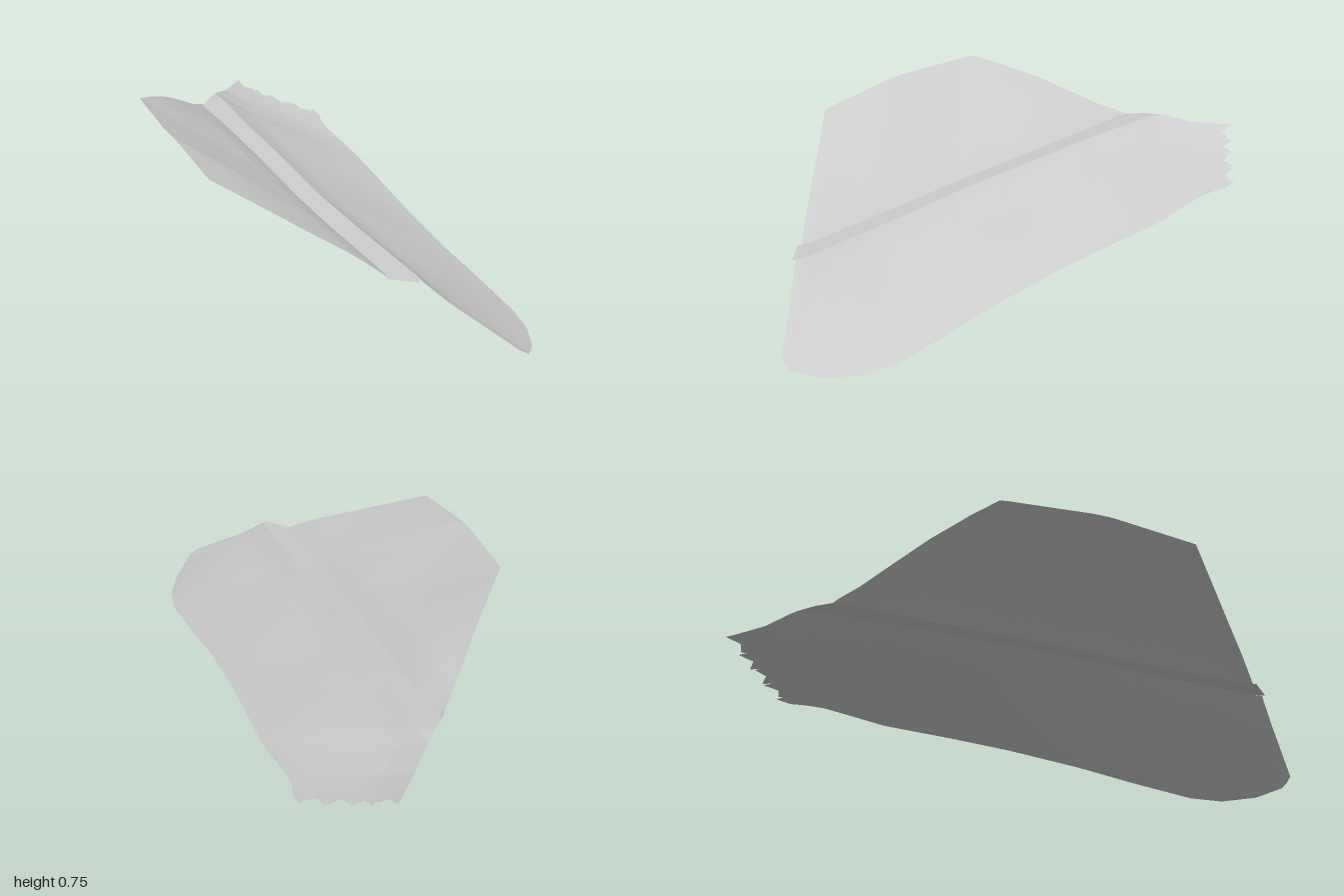
import * as THREE from 'three';

// Piecewise linear lookup through [z, value] points, clamped at both ends
function along(points) {
  return (z) => {
    if (z <= points[0][0]) return points[0][1];
    for (let i = 1; i < points.length; i++) {
      const [z0, v0] = points[i - 1], [z1, v1] = points[i];
      if (z <= z1) return v0 + (v1 - v0) * (z - z0) / (z1 - z0);
    }
    return points[points.length - 1][1];
  };
}

// Plan of the hillside: outer edges and the two road edges, x by z
const uphillX = along([[-1, -0.94], [0.33, -0.94], [0.64, -0.7], [0.98, -0.38]]);
const downhillX = along([[-1, -0.5], [-0.89, -0.45], [-0.82, -0.4], [-0.62, -0.2], [-0.37, 0],
  [-0.16, 0.17], [0.1, 0.4], [0.3, 0.6], [0.51, 0.8], [0.64, 0.88], [0.8, 0.925], [0.93, 0.93], [0.965, 0.92], [0.98, 0.9]]);
const roadLeftX = along([[-0.45, -0.94], [-0.26, -0.76], [0.06, -0.475], [0.4, -0.18], [0.93, 0.32], [0.98, 0.36]]);
const roadRightX = along([[-0.64, -0.94], [-0.29, -0.66], [0.02, -0.385], [0.32, -0.13], [0.93, 0.46], [0.98, 0.5]]);

// Heights of the outer edges and the road, y by z
const uphillY = along([[-0.45, 0.46], [-0.33, 0.5], [-0.2, 0.56], [0, 0.65], [0.2, 0.72], [0.33, 0.755], [0.7, 0.74], [0.98, 0.68]]);
const downhillY = along([[-1, 0.27], [-0.82, 0.25], [-0.62, 0.205], [-0.37, 0.172], [-0.16, 0.14], [0.1, 0.092],
  [0.3, 0.05], [0.51, 0.01], [0.64, 0], [0.8, 0.01], [0.93, 0.04], [0.98, 0.08]]);
const roadY = along([[-1, 0.405], [-0.8, 0.415], [-0.65, 0.452], [-0.55, 0.458], [-0.2, 0.435], [0.2, 0.4], [0.6, 0.36], [1, 0.335]]);

// Ground height: flat road, steeper banks beside it, gently rolling slopes beyond
function height(x, z) {
  const left = roadLeftX(z), right = roadRightX(z), y = roadY(z);
  if (x >= left && x <= right) return y;
  const up = x < left;
  const edgeX = up ? uphillX(z) : downhillX(z);
  const edgeY = up ? uphillY(z) : downhillY(z);
  const start = up ? left : right;
  const f = (x - start) / (edgeX - start);
  const bank = 0.02 * Math.min(1, Math.abs(x - start) / 0.14) * (1 - f);
  const roll = 0.025 * Math.sin(5 * x + 1) * Math.sin(6 * z) * f * (1 - f);
  return y + (edgeY - y) * f + (up ? bank : -bank) + roll;
}

// Rows across the hillside, from back to front
const rows = [];
for (let i = 0; i <= 74; i++) rows.push(-0.955 + 1.935 * i / 74);

// Sheet between two border curves, each given as x for a row
function strip(name, from, to, columns, material) {
  const position = [], index = [];
  rows.forEach((z, i) => {
    const a = from(z, i), b = to(z, i);
    for (let j = 0; j <= columns; j++) {
      const x = a + (b - a) * j / columns;
      const reach = name === 'road' && i === rows.length - 1 ? 0.015 : 0;
      position.push(x, height(x, z), z + reach);
    }
  });
  const w = columns + 1;
  const isWide = (p, q) => position[3 * q] - position[3 * p] > 1e-4;
  for (let i = 0; i < rows.length - 1; i++) {
    for (let j = 0; j < columns; j++) {
      const a = i * w + j, b = a + w;
      if (isWide(a, a + 1)) index.push(a, b, a + 1);
      if (isWide(b, b + 1)) index.push(b, b + 1, a + 1);
    }
  }
  const geometry = new THREE.BufferGeometry();
  geometry.setAttribute('position', new THREE.Float32BufferAttribute(position, 3));
  geometry.setIndex(index);
  geometry.computeVertexNormals();
  const mesh = new THREE.Mesh(geometry, material);
  mesh.name = name;
  return mesh;
}

// Torn back edge: a row of pointed teeth
function tornEdge(material) {
  const z = rows[0], x0 = uphillX(z), x1 = downhillX(z), count = 9;
  const position = [];
  for (let i = 0; i < count; i++) {
    const a = x0 + (x1 - x0) * i / count, b = x0 + (x1 - x0) * (i + 1) / count;
    const tip = i % 2 ? b - 0.01 : a;
    position.push(a, height(a, z), z, b, height(b, z), z, tip, height(tip, z), i % 3 === 1 ? -0.98 : -1);
  }
  const geometry = new THREE.BufferGeometry();
  geometry.setAttribute('position', new THREE.Float32BufferAttribute(position, 3));
  geometry.computeVertexNormals();
  const mesh = new THREE.Mesh(geometry, material);
  mesh.name = 'tornBackEdge';
  return mesh;
}

export function createModel() {
  const ground = new THREE.MeshStandardMaterial({ color: 0xcccccc, side: THREE.DoubleSide });
  ground.name = 'groundGrey';

  // Ragged outer borders of the banks
  const ragged = (i) => (i % 2 ? 0.1 : 0.16) + 0.012 * Math.sin(i * 2.3);
  const cutTop = (z, i) => Math.max(uphillX(z), roadLeftX(z) - ragged(i));
  const fillFoot = (z, i) => roadRightX(z) + ragged(i + 1);

  const model = new THREE.Group();
  model.name = 'hillsideRoad';
  model.add(
    strip('uphillSlope', uphillX, cutTop, 12, ground),
    strip('cutBank', cutTop, roadLeftX, 2, ground),
    strip('road', roadLeftX, roadRightX, 2, ground),
    strip('fillBank', roadRightX, fillFoot, 2, ground),
    strip('downhillSlope', fillFoot, downhillX, 14, ground),
    tornEdge(ground),
  );
  return model;
}
